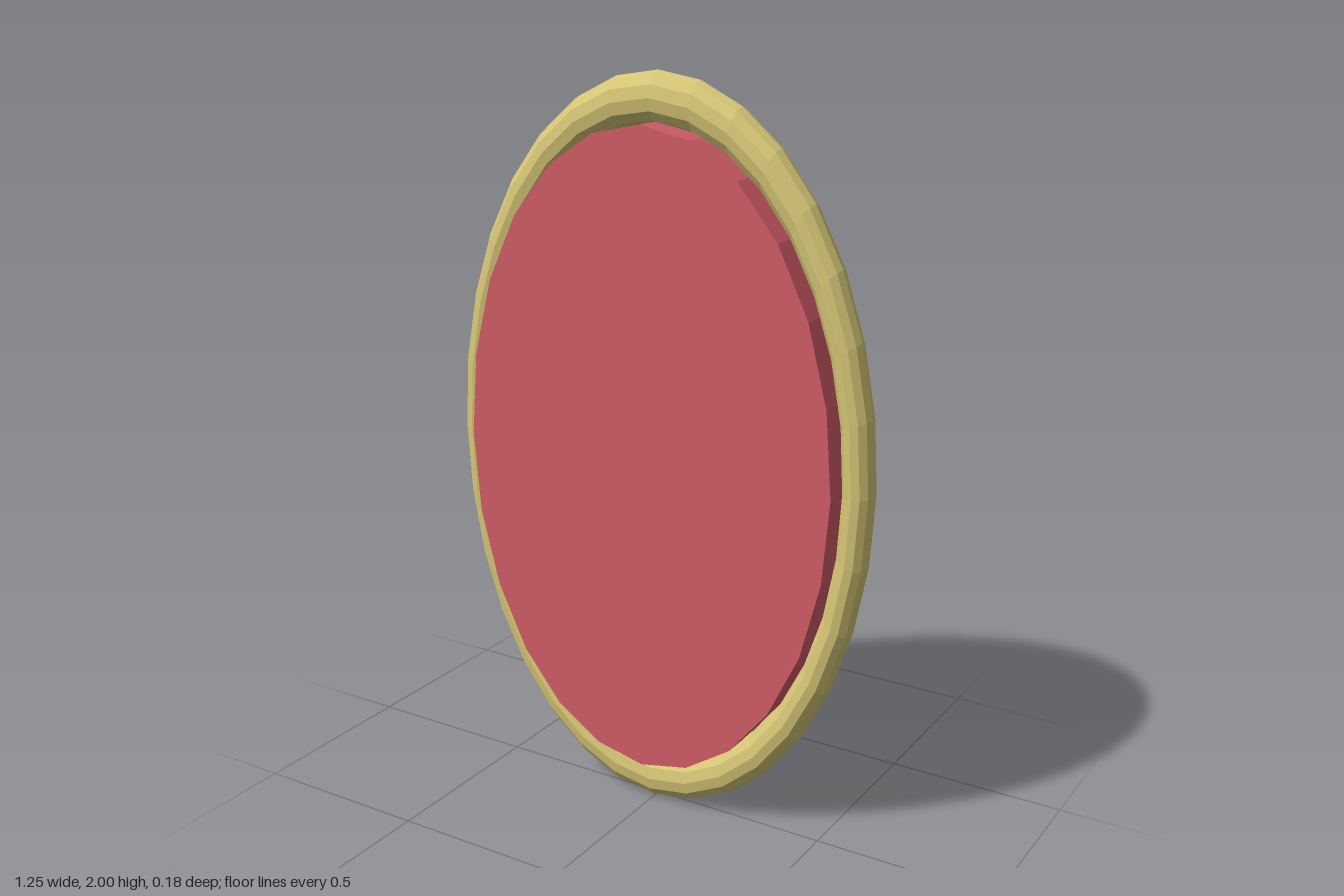
import * as THREE from 'three';

export function createModel() {
  const model = new THREE.Group();
  const red = new THREE.MeshStandardMaterial({ color: 0xd05c66, flatShading: true });
  red.name = 'red';
  const gold = new THREE.MeshStandardMaterial({ color: 0xd6c676, flatShading: true });
  gold.name = 'gold';

  const add = (name, geometry, material, x, y, z) => {
    const mesh = new THREE.Mesh(geometry, material);
    mesh.name = name;
    mesh.position.set(x, y, z);
    model.add(mesh);
    return mesh;
  };

  // Oval rim: a torus stretched upright
  const rim = new THREE.TorusGeometry(0.935, 0.065, 12, 32);
  rim.scale(0.625, 1, 0.75);
  add('rim', rim, gold, 0, 1, 0.005);

  // Oval face plate, standing proud of the rim at the front
  const plate = new THREE.CylinderGeometry(1, 1, 0.092, 24);
  plate.rotateX(Math.PI / 2);
  plate.scale(0.548, 0.873, 1);
  add('facePlate', plate, red, 0, 1.002, 0.046);

  // Pair of faceted studs on the back
  for (const side of [1, -1]) {
    const stud = new THREE.IcosahedronGeometry(0.058, 0);
    add(side > 0 ? 'leftStud' : 'rightStud', stud, red, side * 0.2, 1.15, -0.043);
  }

  return model;
}
